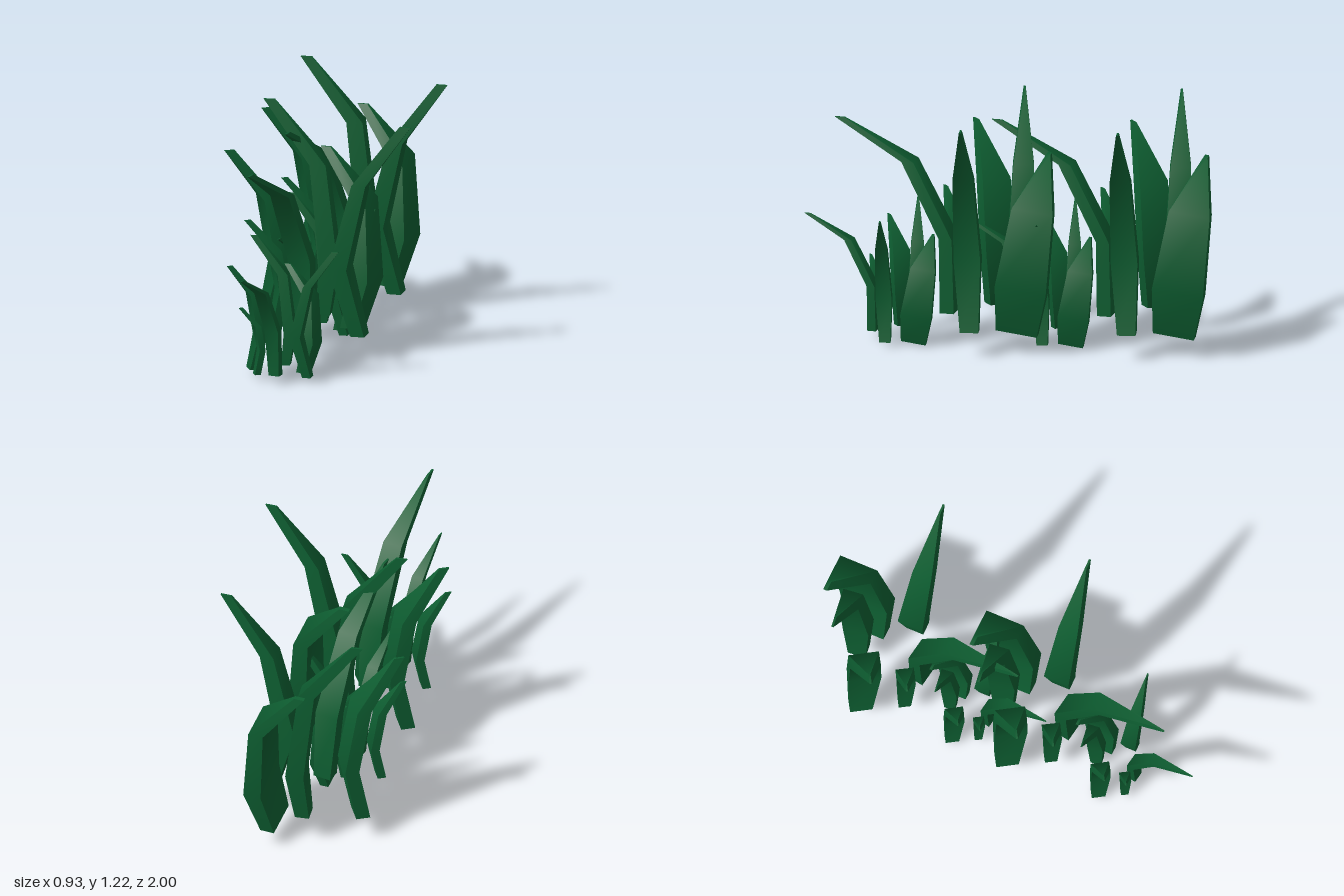
import * as THREE from 'three';
import { toCreasedNormals } from 'three/addons/utils/BufferGeometryUtils.js';

// Each blade: bend direction [x, z], slope of the cuts, and four rings
// from base to tip: [x, y, z, thickness along the bend, width across it].
const BLADES = [
  { name: 'forwardBlade', bend: [-0.2, 0.97], slope: 0, rings: [
    [-0.04, 0.16, 0.29, 0.07, 0.09], [-0.06, 0.53, 0.295, 0.065, 0.12],
    [-0.11, 0.9, 0.485, 0.06, 0.1], [-0.185, 1.09, 0.83, 0.05, 0.01]] },
  { name: 'shortBlade', bend: [-0.87, 0.48], slope: 0, rings: [
    [-0.2, 0.15, 0.265, 0.05, 0.06], [-0.165, 0.36, 0.26, 0.05, 0.09],
    [-0.2, 0.56, 0.27, 0.05, 0.09], [-0.32, 0.715, 0.325, 0.035, 0.01]] },
  { name: 'leftBlade', bend: [1, 0.03], slope: 0, rings: [
    [0.2, 0.13, 0.175, 0.07, 0.09], [0.11, 0.47, 0.19, 0.09, 0.13],
    [0.215, 0.9, 0.205, 0.07, 0.1], [0.435, 1.2, 0.205, 0.055, 0.01]] },
  { name: 'rightBlade', bend: [-0.87, 0.5], slope: 0, rings: [
    [-0.285, 0.14, 0.07, 0.07, 0.11], [-0.225, 0.42, 0.065, 0.07, 0.16],
    [-0.28, 0.77, 0.09, 0.07, 0.15], [-0.445, 1.02, 0.185, 0.05, 0.01]] },
  { name: 'tallBlade', bend: [-1, 0.08], slope: 0, rings: [
    [-0.03, 0.16, -0.04, 0.07, 0.09], [0, 0.42, -0.055, 0.09, 0.13],
    [-0.06, 0.91, -0.07, 0.08, 0.1], [-0.305, 1.22, -0.06, 0.055, 0.01]] },
  { name: 'broadBlade', bend: [-1, -0.08], slope: 0.15, rings: [
    [0.115, 0.105, -0.05, 0.07, 0.2], [0.175, 0.34, -0.075, 0.09, 0.25],
    [0.15, 0.73, -0.13, 0.075, 0.2], [-0.055, 0.96, -0.195, 0.05, 0.02]] },
];

// Loft a four-sided section through the rings and cap both ends
function bladeGeometry({ bend, slope, rings }) {
  const len = Math.hypot(bend[0], bend[1]);
  const ux = bend[0] / len, uz = bend[1] / len;
  const wx = -uz, wz = ux;
  const positions = [], index = [];
  for (const [x, y, z, t, w] of rings) {
    for (const [a, b] of [[1, 1], [1, -1], [-1, -1], [-1, 1]]) {
      const u = a * t / 2, v = b * w / 2;
      const dz = u * uz + v * wz;
      positions.push(x + u * ux + v * wx, y + dz * slope, z + dz);
    }
  }
  for (let r = 0; r < rings.length - 1; r++) {
    for (let i = 0; i < 4; i++) {
      const a = r * 4 + i, b = r * 4 + (i + 1) % 4;
      index.push(a, b, b + 4, a, b + 4, a + 4);
    }
  }
  const top = (rings.length - 1) * 4;
  index.push(0, 2, 1, 0, 3, 2, top, top + 1, top + 2, top, top + 2, top + 3);
  const geometry = new THREE.BufferGeometry();
  geometry.setAttribute('position', new THREE.Float32BufferAttribute(positions, 3));
  geometry.setIndex(index);
  return toCreasedNormals(geometry, 0.9);
}

export function createModel() {
  const model = new THREE.Group();
  model.name = 'grass';
  const green = new THREE.MeshStandardMaterial({ color: 0x0d5c30 });
  green.name = 'deep green';

  const parts = BLADES.map((blade) => ({ name: blade.name, geometry: bladeGeometry(blade) }));

  // A tuft holds one of every blade
  function addTuft(name, scale, x, y, z) {
    const tuft = new THREE.Group();
    tuft.name = name;
    tuft.scale.setScalar(scale);
    tuft.position.set(x, y, z);
    for (const part of parts) {
      const mesh = new THREE.Mesh(part.geometry, green);
      mesh.name = part.name;
      tuft.add(mesh);
    }
    model.add(tuft);
  }

  // A large and a small tuft, repeated towards the back
  [['front', 0], ['back', -0.763]].forEach(([side, z]) => {
    addTuft(side + 'LargeTuft', 1, 0, 0, z);
    addTuft(side + 'SmallTuft', 0.6, -0.076, -0.052, z + 0.49);
  });
  return model;
}
